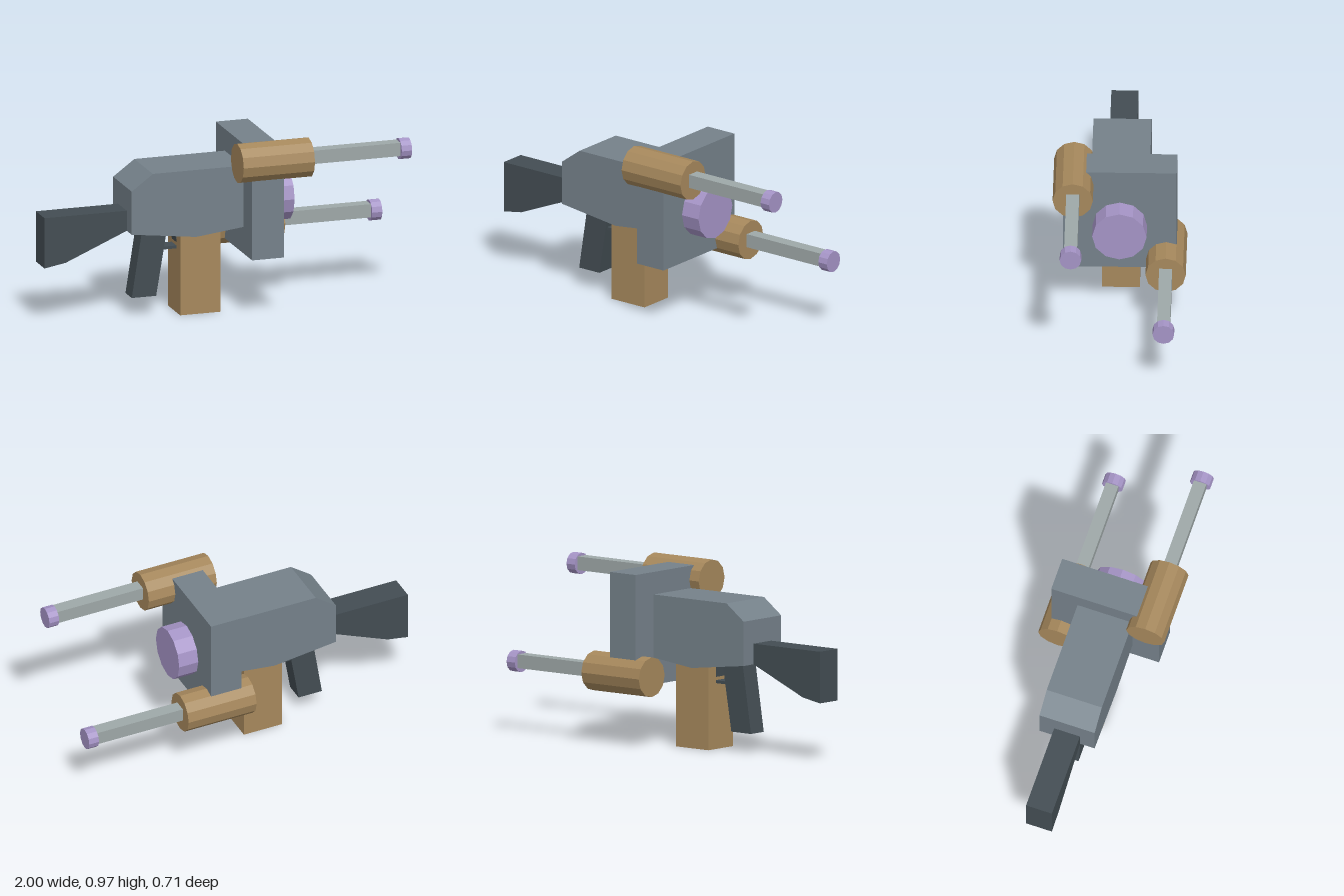
import * as THREE from 'three';

const material = (color) => new THREE.MeshStandardMaterial({ color, flatShading: true });

export function createModel() {
  const model = new THREE.Group();
  const steel = material(0x75818a);
  const dark = material(0x434d53);
  const tan = material(0xa6885c);
  const lilac = material(0xa594c6);
  const silver = material(0x9ea8a8);

  const add = (name, geometry, mat, parent = model) => {
    const mesh = new THREE.Mesh(geometry, mat);
    mesh.name = name;
    parent.add(mesh);
    return mesh;
  };

  // Side profile in x, y, extruded evenly about z = 0
  const slab = (name, points, width, mat) => {
    const shape = new THREE.Shape(points.map(([x, y]) => new THREE.Vector2(x, y)));
    const geometry = new THREE.ExtrudeGeometry(shape, { depth: width, bevelEnabled: false });
    geometry.translate(0, 0, -width / 2);
    return add(name, geometry, mat);
  };

  // Box between two x and two y values, centred on z = 0
  const block = (name, x0, x1, y0, y1, width, mat, parent) => {
    const geometry = new THREE.BoxGeometry(x1 - x0, y1 - y0, width);
    geometry.translate((x0 + x1) / 2, (y0 + y1) / 2, 0);
    return add(name, geometry, mat, parent);
  };

  // Twelve-sided drum lying along x
  const drum = (name, x0, x1, y, radius, mat, parent) => {
    const geometry = new THREE.CylinderGeometry(radius, radius, x1 - x0, 12);
    geometry.rotateZ(-Math.PI / 2);
    geometry.translate((x0 + x1) / 2, y, 0);
    return add(name, geometry, mat, parent);
  };

  // Receiver, stock and grip
  slab('body', [[-0.535, 0.49], [-0.17, 0.445], [0.1, 0.477], [0.1, 0.818], [-0.415, 0.818], [-0.535, 0.73]], 0.312, steel);
  slab('stock', [[-1, 0.322], [-0.88, 0.343], [-0.53, 0.492], [-0.53, 0.602], [-1, 0.602]], 0.146, dark);
  slab('grip', [[-0.5, 0.107], [-0.362, 0.107], [-0.3, 0.48], [-0.44, 0.49]], 0.106, dark);

  // Trigger guard between grip and magazine
  slab('triggerGuard', [[-0.33, 0.357], [-0.235, 0.357], [-0.235, 0.46], [-0.25, 0.46], [-0.24, 0.373], [-0.33, 0.373]], 0.08, dark);

  // Magazine, front plate and central muzzle
  block('magazine', -0.242, -0.015, 0, 0.46, 0.202, tan);
  block('frontPlate', 0.096, 0.277, 0.33, 0.94, 0.61, steel);
  drum('muzzle', 0.27, 0.39, 0.601, 0.146, lilac);

  // Two side barrels at opposite corners of the plate
  for (const [name, y, z] of [['upperBarrel', 0.861, 0.249], ['lowerBarrel', 0.386, -0.249]]) {
    const barrel = new THREE.Group();
    barrel.name = name;
    barrel.position.set(0, y, z);
    drum('housing', 0.031, 0.434, 0, 0.108, tan, barrel);
    block('rod', 0.42, 0.95, -0.032, 0.042, 0.07, silver, barrel);
    drum('tip', 0.942, 1, 0, 0.058, lilac, barrel);
    model.add(barrel);
  }

  return model;
}
